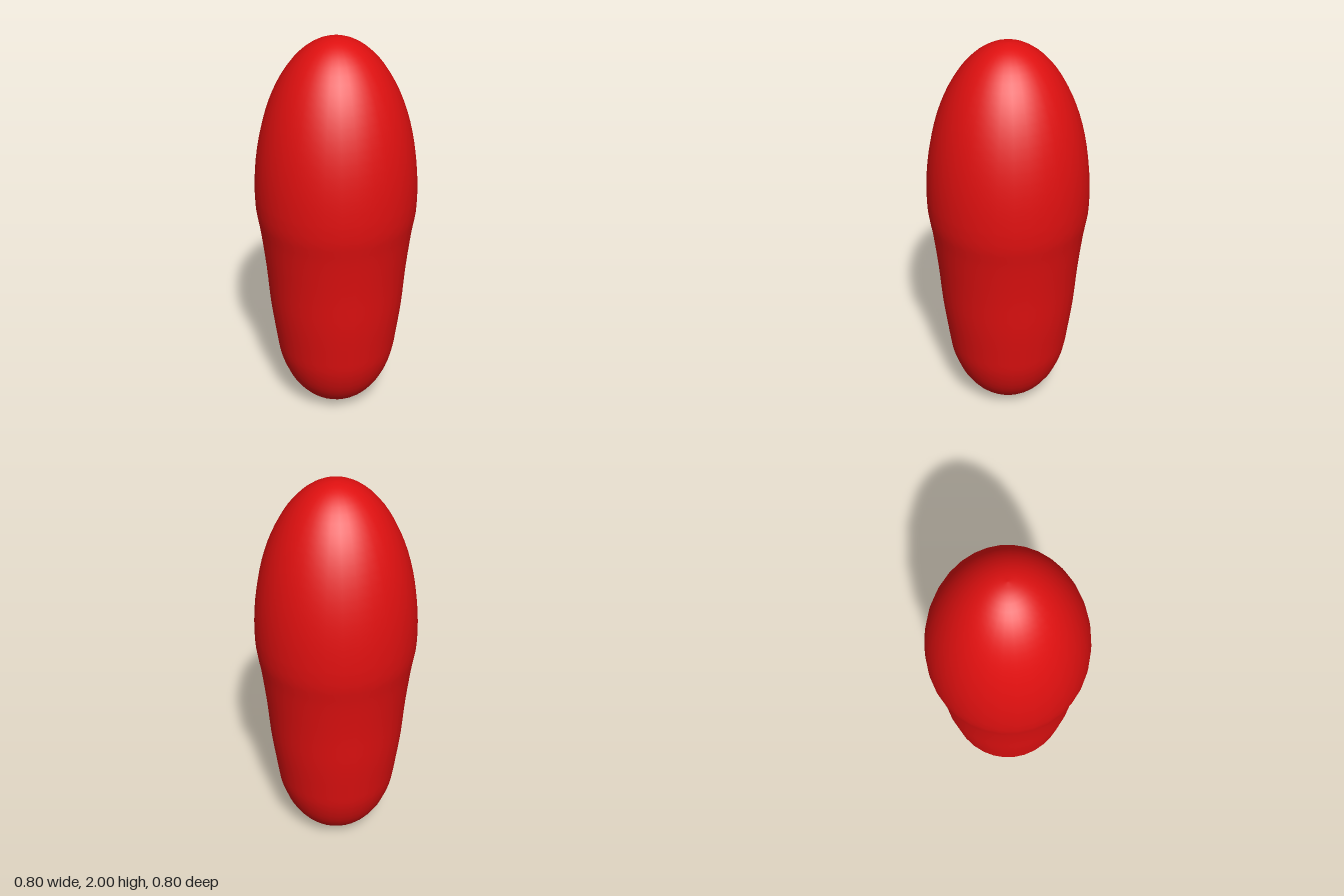
import * as THREE from 'three';

export function createModel() {
  const group = new THREE.Group();

  // lower body: rounded foot, gentle taper, slight waist, widest at y = 1.22
  const lower = new THREE.SplineCurve([
    [0, 0], [0.075, 0.01], [0.14, 0.045], [0.2, 0.1], [0.255, 0.185], [0.296, 0.3],
    [0.315, 0.42], [0.338, 0.6], [0.354, 0.8], [0.377, 1.0], [0.396, 1.12], [0.4, 1.22],
  ].map(([x, y]) => new THREE.Vector2(x, y))).getPoints(33);

  // upper body: half-ellipse dome
  const dome = [];
  for (let i = 1; i <= 20; i++) {
    const a = (i / 20) * Math.PI / 2;
    dome.push(new THREE.Vector2(0.4 * Math.cos(a), 1.22 + 0.78 * Math.sin(a)));
  }

  const profile = [...lower, ...dome];
  profile[0].x = profile[profile.length - 1].x = 0;
  for (const p of profile) p.y = Math.max(p.y, 0);

  const body = new THREE.Mesh(
    new THREE.LatheGeometry(profile, 32),
    new THREE.MeshStandardMaterial({ color: 0xe01010 }),
  );
  body.name = 'body';
  group.add(body);
  return group;
}
